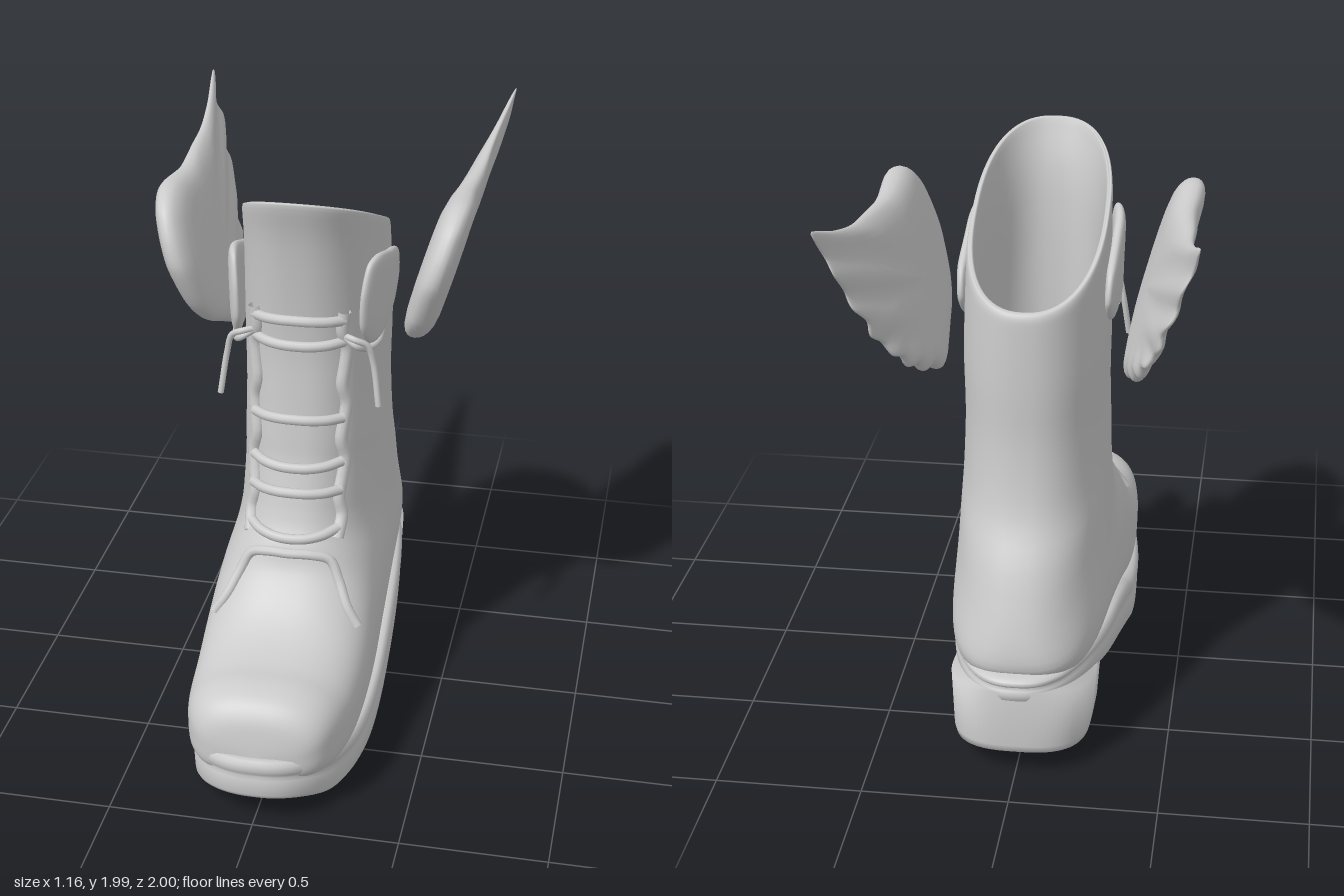
import * as THREE from 'three';

const material = new THREE.MeshStandardMaterial({ color: 0xcccccc, side: THREE.DoubleSide });
const { smoothstep } = THREE.MathUtils;
const V = (x, y, z) => new THREE.Vector3(x, y, z);
const pow = (v, e) => Math.sign(v) * Math.abs(v) ** e;

// Skin a list of closed rings that all have the same number of points
function loft(rings) {
  const n = rings[0].length, index = [];
  for (let r = 0; r < rings.length - 1; r++)
    for (let j = 0; j < n; j++) {
      const a = r * n + j, b = r * n + ((j + 1) % n);
      index.push(a, b, b + n, a, b + n, a + n);
    }
  const geo = new THREE.BufferGeometry().setFromPoints(rings.flat());
  geo.setIndex(index);
  geo.computeVertexNormals();
  return geo;
}

// Superellipse ring spanning a front point and a back point in the x = 0 plane
function ring(w, fy, fz, by, bz, eFront, eBack, n = 72) {
  return Array.from({ length: n }, (_, j) => {
    const a = (j / n) * Math.PI * 2, e = Math.cos(a) > 0 ? eFront : eBack;
    const t = 0.5 + 0.5 * pow(Math.cos(a), e);
    return V(w * pow(Math.sin(a), e), by + (fy - by) * t, bz + (fz - bz) * t);
  });
}

// Rounded slab from an outline of [z, y]; mid(y, z) and thick(z) give its x position and half thickness
function slab(outline, cz, cy, mid, thick) {
  const pts = new THREE.CatmullRomCurve3(outline.map(([z, y]) => V(0, y, z)), true, 'catmullrom', 0.4).getPoints(120);
  pts.pop();
  const steps = [0, 0.2, 0.4, 0.6, 0.75, 0.86, 0.93, 0.97, 0.99, 1];
  const face = (s, side) => pts.map((p) => {
    const y = cy + (p.y - cy) * s, z = cz + (p.z - cz) * s;
    return V(mid(y, z) + side * thick(z) * Math.sqrt(1 - s ** 8), y, z);
  });
  return loft([...steps.map((s) => face(s, 1)), ...steps.slice(0, -1).reverse().map((s) => face(s, -1))]);
}

const tube = (pts, r) => new THREE.TubeGeometry(new THREE.CatmullRomCurve3(pts), 40, r, 10);

export function createModel() {
  const group = new THREE.Group();
  const add = (name, geo) => {
    const mesh = new THREE.Mesh(geo, material);
    mesh.name = name;
    group.add(mesh);
    return mesh;
  };
  const pair = (name, geo) => {
    add(name + 'Left', geo);
    add(name + 'Right', geo).scale.x = -1;
  };

  // Upper: sections fan from the toe round to the shaft, over the rim and down the lining
  // [half width, front y, front z, back y, back z]
  const sections = [
    [0, 0.24, 0.965, 0.24, 0.965],
    [0.12, 0.31, 0.955, 0.19, 0.955],
    [0.19, 0.38, 0.935, 0.16, 0.93],
    [0.235, 0.43, 0.89, 0.14, 0.88],
    [0.265, 0.453, 0.81, 0.12, 0.8],
    [0.285, 0.456, 0.71, 0.1, 0.66],
    [0.295, 0.485, 0.6, 0.1, 0.48],
    [0.3, 0.545, 0.5, 0.15, 0.25],
    [0.295, 0.64, 0.41, 0.22, 0],
    [0.285, 0.72, 0.375, 0.28, -0.35],
    [0.275, 0.78, 0.34, 0.31, -0.65],
    [0.268, 0.83, 0.32, 0.36, -0.79],
    [0.262, 0.88, 0.305, 0.46, -0.81],
    [0.252, 1.0, 0.272, 0.7, -0.73],
    [0.247, 1.09, 0.26, 0.88, -0.64],
    [0.242, 1.25, 0.245, 1.1, -0.602],
    [0.245, 1.46, 0.24, 1.32, -0.6],
    [0.238, 1.8, 0.285, 1.52, -0.595],
    [0.235, 1.96, 0.328, 1.575, -0.59],
    [0.225, 1.975, 0.322, 1.59, -0.575],
    [0.212, 1.95, 0.305, 1.57, -0.56],
    [0.203, 1.7, 0.24, 1.4, -0.555],
    [0.2, 1.1, 0.215, 0.9, -0.56],
    [0, 0.7, 0.25, 0.48, -0.62],
  ];
  const spine = (y, z) => new THREE.CatmullRomCurve3(sections.map((k) => V(k[0], k[y], k[z])), false, 'catmullrom', 0.5);
  const front = spine(1, 2), back = spine(3, 4);
  const count = (sections.length - 1) * 4;
  const upper = add('bootUpper', loft(Array.from({ length: count + 1 }, (_, i) => {
    const f = front.getPoint(i / count), b = back.getPoint(i / count);
    // Square against the sole, rounder up the heel and shaft
    return ring(Math.max(f.x, 0), f.y, f.z, b.y, b.z, 0.82, 0.5 + 0.35 * smoothstep(b.y, 0.2, 0.6));
  })));

  // Find the front surface of the upper so that trim can follow it
  const ray = new THREE.Raycaster();
  const hug = (x, y, lift) => {
    ray.set(V(x, y, 3), V(0, 0, -1));
    return V(x, y, ray.intersectObject(upper)[0].point.z + lift);
  };

  // Sole with welt, following the arch from heel to toe
  const heights = (values) => {
    const c = new THREE.SplineCurve(values.map((v, i) => new THREE.Vector2(i, v)));
    return (z) => c.getPoint((z + 1) / 2).y;
  };
  const soleTop = heights([0.385, 0.385, 0.385, 0.375, 0.36, 0.31, 0.225, 0.18, 0.175, 0.21, 0.26]);
  const soleBottom = heights([0.3, 0.29, 0.27, 0.23, 0.19, 0.125, 0.045, 0.005, 0.012, 0.04, 0.11]);
  const soleRing = (inset, v, flat = 1) => ring(0.315 - inset, 0, 1 - inset, 0, -0.855 + inset, 0.8, 0.8, 120).map((p) => {
    // Widest point sits forward of the middle
    const z = p.z + 0.12 * (1 - ((p.z - 0.0725) / 0.9275) ** 2);
    return V(p.x * flat, soleBottom(z) + (soleTop(z) - soleBottom(z)) * v, z);
  });
  add('sole', loft([
    [0.05, 0, 0], [0.035, 0], [0.015, 0.02], [0.006, 0.1], [0.004, 0.3], [0.006, 0.5], [0.016, 0.58],
    [0.006, 0.66], [0, 0.76], [0.003, 0.88], [0.016, 0.97], [0.04, 1], [0.06, 0.98, 0],
  ].map((a) => soleRing(...a))));

  // Heel block with slanted front
  add('heelBlock', loft([
    [0, 0.045, -0.32, 0.085, -0.81], [0.21, 0.045, -0.32, 0.085, -0.82], [0.232, 0.05, -0.31, 0.095, -0.838],
    [0.238, 0.075, -0.298, 0.12, -0.843], [0.248, 0.23, -0.25, 0.33, -0.845], [0, 0.25, -0.25, 0.34, -0.8],
  ].map((k) => ring(...k, 0.3, 0.7))));

  // Eyestays either side of the tongue, bulging out at each lace
  const stay = Array.from({ length: 13 }, (_, i) => hug(0.153 + 0.007 * Math.sin(i * 2.1), 0.74 + 0.068 * i, 0.002));
  pair('eyestay', tube(stay, 0.024));

  // Lace bars across the tongue: height, bow in height, lift
  const bars = [[1.525, 0.012, 0.012], [1.445, -0.006, 0.01], [1.165, 0.008, 0.022], [1.005, -0.008, 0.024], [0.905, 0.008, 0.026], [0.775, -0.018, 0.015]];
  for (const [y, bow, lift] of bars) {
    const pts = [-1, -0.7, -0.35, 0, 0.35, 0.7, 1].map((u) => hug(u * 0.155, y + bow * (1 - u * u), lift));
    add('laceBar', tube(pts, 0.018));
  }

  // Raised edge where the vamp meets the tongue
  const lip = [[0.255, 0.48], [0.215, 0.54], [0.175, 0.62], [0.14, 0.685], [0.08, 0.705]];
  const lipPath = [...lip.map(([x, y]) => [-x, y]), [0, 0.707], ...lip.slice().reverse()];
  add('vampEdge', tube(lipPath.map(([x, y]) => hug(x, y, 0.002)), 0.018));

  // Ankle flaps standing proud of the shaft
  const flap = [[0.2, 1.5], [0.205, 1.62], [0.165, 1.72], [0.08, 1.73], [-0.08, 1.68], [-0.26, 1.62], [-0.3, 1.52], [-0.2, 1.43], [0, 1.41], [0.13, 1.42]];
  pair('ankleFlap', slab(flap, -0.02, 1.56, (y, z) => 0.248 - 0.8 * Math.max(0, z) ** 2 + 0.03 * (y - 1.5), () => 0.022));

  // Hanging lace ends and the ties running back under the flaps
  const knot = hug(0.15, 1.47, 0.01);
  pair('laceEnd', tube([knot, V(0.195, 1.465, 0.215), V(0.235, 1.44, 0.2), V(0.255, 1.37, 0.19), V(0.277, 1.22, 0.205)], 0.011));
  pair('laceTie', tube([knot, V(0.2, 1.44, 0.21), V(0.23, 1.41, 0.15), V(0.25, 1.405, 0.07), V(0.25, 1.415, 0)], 0.012));

  // Wings leaning outward, with a scalloped trailing edge from tip to lowest point
  const trailing = new THREE.QuadraticBezierCurve(
    new THREE.Vector2(-0.995, 1.99), new THREE.Vector2(-0.8, 1.4), new THREE.Vector2(-0.31, 1.265));
  const scallops = trailing.getPoints(14).map((p, i) => {
    const inset = i % 2 ? 0.94 : 1;
    return [-0.32 + (p.x + 0.32) * inset, 1.6 + (p.y - 1.6) * inset];
  });
  const wing = [
    [0.155, 1.63], [0.145, 1.73], [0.1, 1.82], [0.03, 1.87], [-0.06, 1.885], [-0.3, 1.865], [-0.6, 1.885], [-0.82, 1.935],
    ...scallops, [-0.22, 1.295], [-0.12, 1.34], [0, 1.395], [0.09, 1.48],
  ];
  const feather = (y, z) => 0.006 * Math.sin(45 * (y + 0.35 * z)) * smoothstep(-z, 0.15, 0.7);
  const lean = (y, z) => 0.425 + 0.29 * (y - 1.6) + 0.065 * Math.max(0, -z - 0.25) + feather(y, z);
  pair('wing', slab(wing, -0.32, 1.6, lean, (z) => 0.008 + 0.056 * smoothstep(z, -1.15, 0.1)));

  return group;
}
